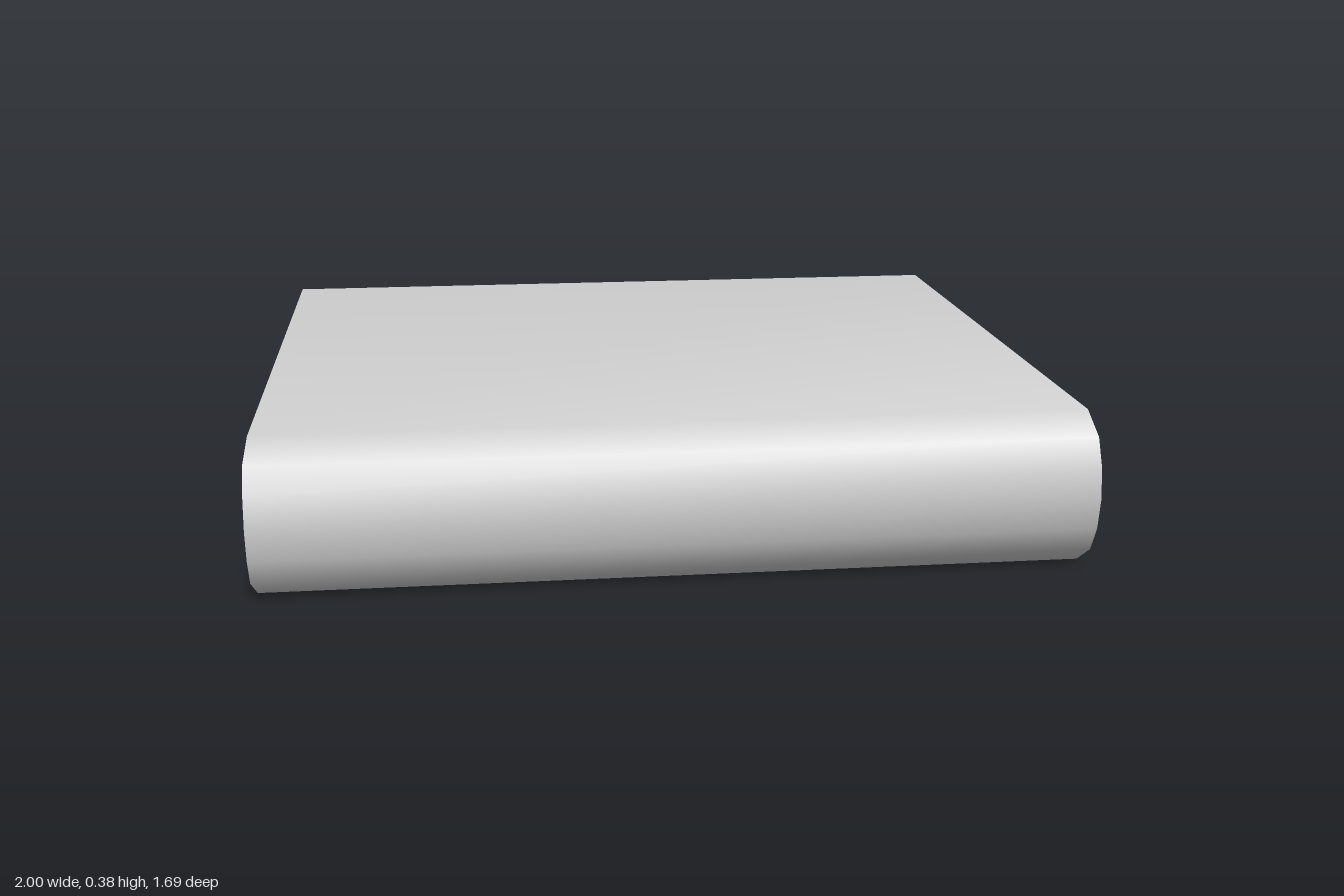
import * as THREE from 'three';
import { toCreasedNormals } from 'three/addons/utils/BufferGeometryUtils.js';

const material = new THREE.MeshStandardMaterial({ color: 0xcccccc });

// Rounded spine sections as [z, y], from bottom to top
const outerSpine = [[0.735, 0], [0.8, 0.05], [0.833, 0.115], [0.845, 0.193], [0.833, 0.27], [0.8, 0.335], [0.735, 0.385]];
const innerSpine = [[0.735, 0.034], [0.778, 0.075], [0.799, 0.13], [0.808, 0.193], [0.799, 0.255], [0.778, 0.31], [0.735, 0.35]];
// Hollow fore edge of the pages, from top to bottom
const foreEdge = [[-0.845, 0.35], [-0.803, 0.27], [-0.792, 0.193], [-0.803, 0.11], [-0.82, 0.034]];

// Extrudes a [z, y] section along x, centred, with half width given per z
function sweep(name, section, halfWidth) {
  const shape = new THREE.Shape(section.map(([z, y]) => new THREE.Vector2(z, y)));
  const geometry = new THREE.ExtrudeGeometry(shape, { depth: 2, bevelEnabled: false });
  geometry.translate(0, 0, -1).rotateY(-Math.PI / 2);
  const p = geometry.attributes.position;
  for (let i = 0; i < p.count; i++) p.setX(i, Math.sign(p.getX(i)) * halfWidth(p.getZ(i)));
  const mesh = new THREE.Mesh(toCreasedNormals(geometry, 0.8), material);
  mesh.name = name;
  return mesh;
}

export function createModel() {
  const book = new THREE.Group();
  book.name = 'book';

  // Both boards and the spine in one wrap, with the spine ends slightly fuller
  const cover = [
    [-0.843, 0], ...outerSpine, [-0.843, 0.385],
    [-0.843, 0.35], ...[...innerSpine].reverse(), [-0.843, 0.034],
  ];
  book.add(sweep('cover', cover, (z) => (z > 0.74 ? 1 : 0.993)));

  // Page block set in from the cover ends
  book.add(sweep('pages', [...innerSpine, ...foreEdge], () => 0.945));
  return book;
}
